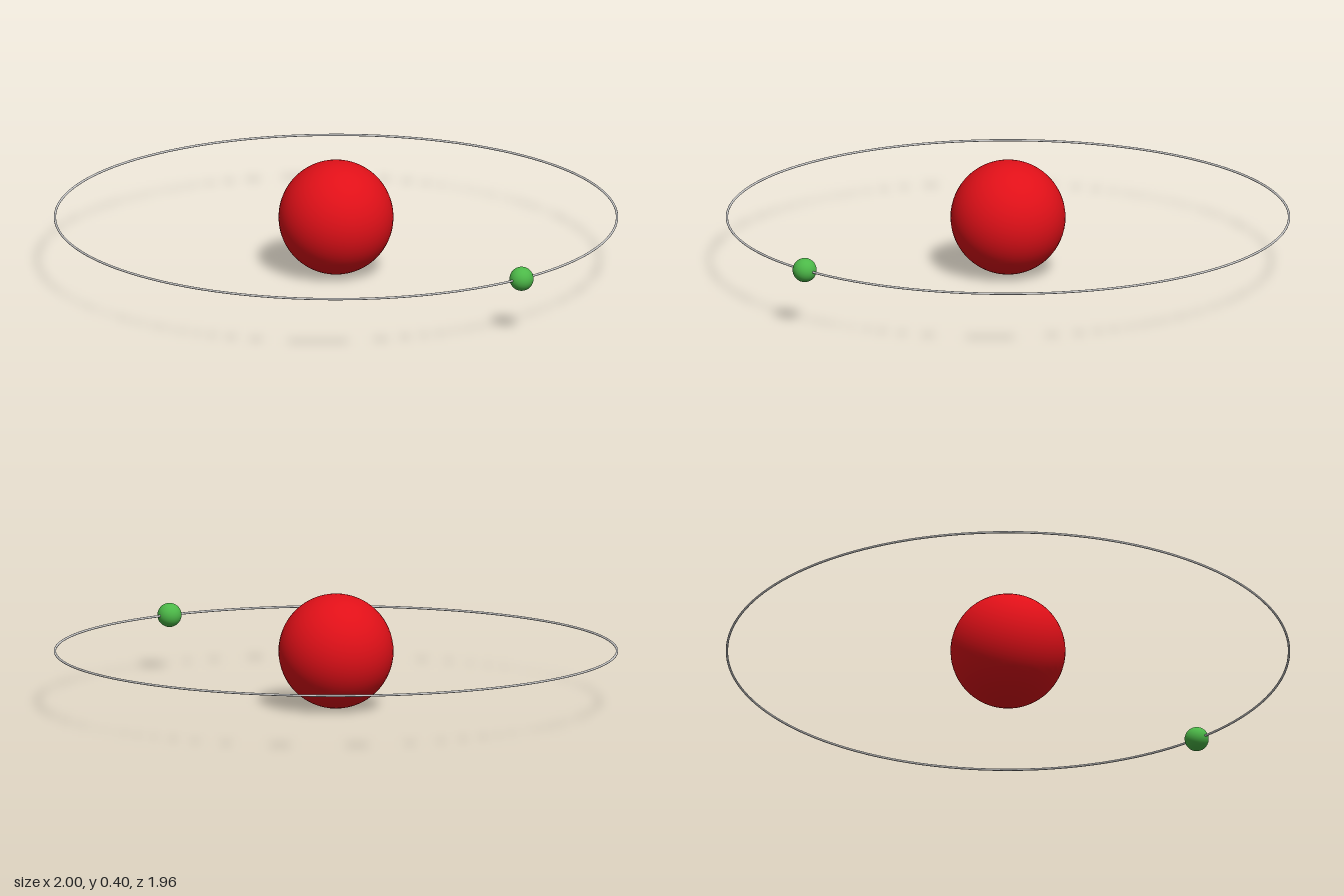
import * as THREE from 'three';

export function createModel() {
  const model = new THREE.Group();
  model.name = 'atom';

  const centre = new THREE.Vector3(-0.019, 0.2, 0);
  const orbitRadius = 0.977;

  const add = (name, geometry, color, offsetX = 0) => {
    const mesh = new THREE.Mesh(geometry, new THREE.MeshStandardMaterial({ color }));
    mesh.name = name;
    mesh.position.copy(centre);
    mesh.position.x += offsetX;
    model.add(mesh);
    return mesh;
  };

  // Large central ball
  add('nucleus', new THREE.SphereGeometry(0.2, 48, 32), 0xe01018);

  // Small ball riding on the orbit
  add('electron', new THREE.SphereGeometry(0.042, 32, 24), 0x4cb848, orbitRadius);

  // Thin horizontal ring
  const ring = new THREE.TorusGeometry(orbitRadius, 0.004, 12, 160);
  ring.rotateX(Math.PI / 2);
  add('orbit', ring, 0xcccccc);

  return model;
}
